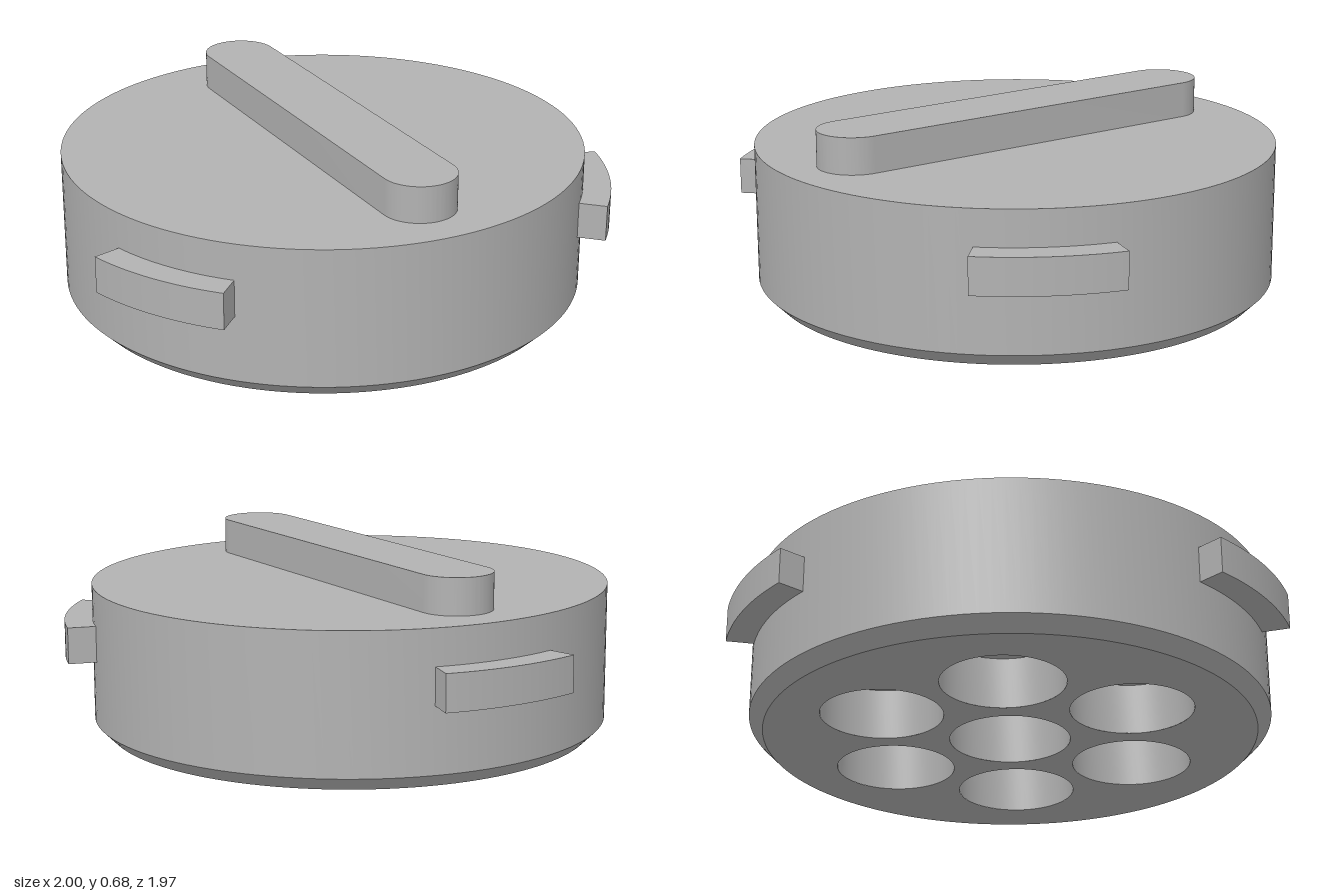
import * as THREE from 'three';
import { toCreasedNormals } from 'three/addons/utils/BufferGeometryUtils.js';

const R = 0.937, BASE_R = 0.887, TOP = 0.545, CENTRE_Z = 0.052;
const WELL_R = 0.217, WELL_DEPTH = 0.187, WELL_RING = 0.505;

const rad = THREE.MathUtils.degToRad;
const lathe = (pts, segments) => toCreasedNormals(
  new THREE.LatheGeometry(pts.map(([x, y]) => new THREE.Vector2(x, y)), segments), 0.5);

// Extrudes a plan shape (x, z) downwards from y = top
function slab(shape, top, height) {
  const g = new THREE.ExtrudeGeometry(shape, { depth: height, bevelEnabled: false, curveSegments: 32 });
  g.rotateX(Math.PI / 2).translate(0, top, 0);
  return toCreasedNormals(g, 0.5);
}

export function createModel() {
  const model = new THREE.Group();
  model.name = 'bayonetCap';
  const grey = new THREE.MeshStandardMaterial({ color: 0xb2b2b2 });
  grey.name = 'grey';

  const add = (name, geometry) => {
    const mesh = new THREE.Mesh(geometry, grey);
    mesh.name = name;
    mesh.position.z = CENTRE_Z;
    model.add(mesh);
    return mesh;
  };

  // Round body with chamfered lower rim and flat top
  add('body', lathe([[BASE_R, 0], [R, 0.05], [R, TOP], [0, TOP]], 128));

  // Underside pierced by seven blind wells: one central, six around it
  const wells = [[0, 0]];
  for (let i = 0; i < 6; i++) {
    const a = rad(30 + 60 * i);
    wells.push([WELL_RING * Math.cos(a), WELL_RING * Math.sin(a)]);
  }
  const floor = new THREE.Shape().absarc(0, 0, BASE_R, 0, Math.PI * 2, false);
  for (const [x, z] of wells) {
    floor.holes.push(new THREE.Path().absarc(x, z, WELL_R, 0, Math.PI * 2, true));
  }
  add('underside', new THREE.ShapeGeometry(floor, 64).rotateX(Math.PI / 2));

  const wellGeometry = lathe([[0, WELL_DEPTH], [WELL_R, WELL_DEPTH], [WELL_R, 0]], 64);
  for (const [x, z] of wells) {
    const well = add('well', wellGeometry);
    well.position.x = x;
    well.position.z += z;
  }

  // Grip bar with rounded ends across the top
  const half = 0.131, reach = 0.81 - half;
  const bar = new THREE.Shape();
  bar.absarc(0, reach, half, 0, Math.PI, false);
  bar.absarc(0, -reach, half, Math.PI, Math.PI * 2, false);
  bar.closePath();
  add('gripBar', slab(bar, 0.675, 0.675 - TOP));

  // Three curved locking lugs around the wall
  for (const angle of [30, 150, 270]) {
    const a = rad(angle - 14.4), b = rad(angle + 14.4);
    const lug = new THREE.Shape();
    lug.absarc(0, 0, 1.037, a, b, false);
    lug.absarc(0, 0, 0.92, b, a, true);
    lug.closePath();
    add('lockingLug', slab(lug, 0.416, 0.131));
  }

  return model;
}
